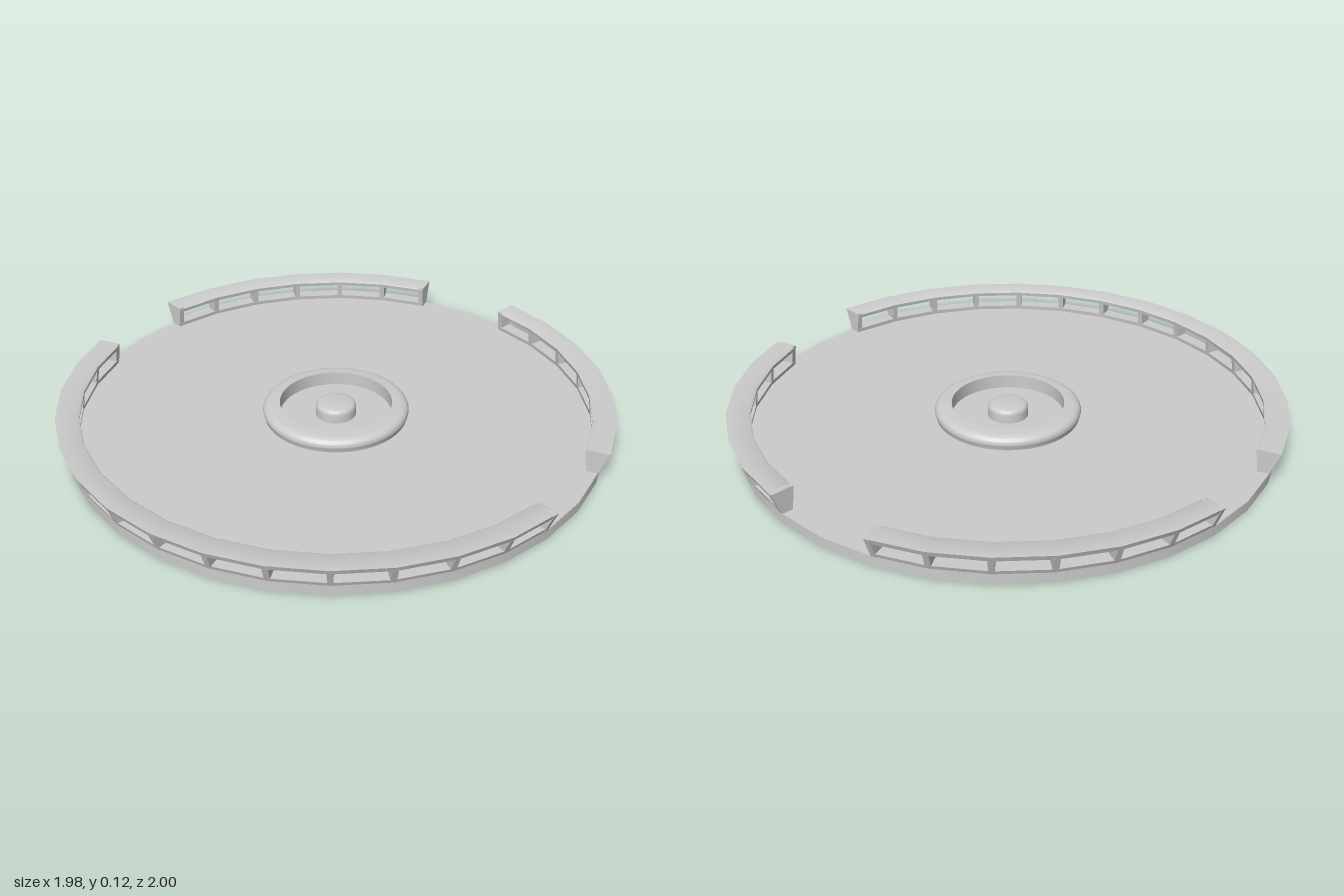
import * as THREE from 'three';
import { toCreasedNormals } from 'three/addons/utils/BufferGeometryUtils.js';

const STEP = Math.PI / 16; // the plate and rails have 32 sides
const DECK = 0.037, CURB = 0.052, SLAB = 0.103, TOP = 0.122;
const material = new THREE.MeshStandardMaterial({ color: 0xcccccc });

// rail cross-section: radius of the inner and outer face at a height
const inner = y => 0.935 - 0.011 * (y - DECK) / (TOP - DECK);
const outer = y => 0.976 + 0.0337 * (y - DECK) / (TOP - DECK);
const band = (y0, y1) => [[inner(y0), y0], [outer(y0), y0], [outer(y1), y1], [inner(y1), y1]];

function add(parent, name, geometry) {
  const mesh = new THREE.Mesh(geometry, material);
  mesh.name = name;
  parent.add(mesh);
  return mesh;
}

function revolve(points, segments, start = 0, length = Math.PI * 2) {
  const profile = points.map(([r, y]) => new THREE.Vector2(r, y));
  return toCreasedNormals(new THREE.LatheGeometry(profile, segments, start, length), 0.6);
}

// flat upright plate with the rail's cross-section, standing at an angle round the rim;
// side -1, 0 or 1 shifts it to finish flush with a rail's start, centre or end
function addPost(parent, name, angle, y0, y1, side) {
  const width = 0.02;
  const shape = new THREE.Shape(band(y0, y1).map(([r, y]) => new THREE.Vector2(r, y)));
  const geometry = new THREE.ExtrudeGeometry(shape, { depth: width, bevelEnabled: false });
  geometry.translate(0, 0, (side - 1) * width / 2);
  if (side) geometry.translate(0, 0, 0);
  geometry.rotateY(angle - Math.PI / 2);
  add(parent, name, geometry);
}

// curved rail: curb, overhanging top slab and a post at every corner
function addRail(parent, name, first, count) {
  const rail = new THREE.Group();
  rail.name = name;
  parent.add(rail);
  const start = first * STEP, length = count * STEP;
  const closed = points => [...points, points[0]];
  add(rail, 'curb', revolve(closed(band(DECK, CURB)), count, start, length));
  const [a, b, c, d] = band(SLAB, TOP);
  const slab = [a, b, c, [d[0] + 0.008, TOP], [d[0], TOP - 0.005]];
  add(rail, 'topSlab', revolve(closed(slab), count, start, length));
  for (let i = 0; i <= count; i++) {
    const end = i === 0 || i === count;
    const side = i === 0 ? -1 : i === count ? 1 : 0;
    addPost(rail, end ? 'endPost' : 'post', start + i * STEP,
      end ? DECK : CURB, end ? TOP : SLAB, side);
  }
}

export function createModel() {
  const model = new THREE.Group();
  model.name = 'roundPlatform';
  const body = new THREE.Group();
  body.name = 'platform';
  body.position.z = -0.01;
  model.add(body);

  // round base plate
  const plate = new THREE.CylinderGeometry(0.976, 0.976, DECK, 32);
  add(body, 'basePlate', plate).position.y = DECK / 2;

  // rails with openings at the back, left and right
  addRail(body, 'frontRail', -7, 14);
  addRail(body, 'leftBackRail', 9, 6);
  addRail(body, 'rightBackRail', -15, 6);

  // central ring with a rounded outer edge and an upright inner wall
  const ring = [[0.262, DECK]];
  for (let i = 0; i <= 8; i++) {
    const t = -0.5 + (Math.PI / 2 + 0.5) * i / 8;
    ring.push([0.236 + 0.032 * Math.cos(t), 0.06 + 0.026 * Math.sin(t)]);
  }
  ring.push([0.206, 0.088], [0.206, DECK]);
  add(body, 'centreRing', revolve(ring, 48));

  // rounded knob in the middle
  const knob = [[0.074, DECK]];
  for (let i = 0; i <= 5; i++) {
    const t = Math.PI / 2 * i / 5;
    knob.push([0.056 + 0.018 * Math.cos(t), 0.068 + 0.018 * Math.sin(t)]);
  }
  knob.push([0, 0.086]);
  add(body, 'centreKnob', revolve(knob, 32));

  return model;
}
